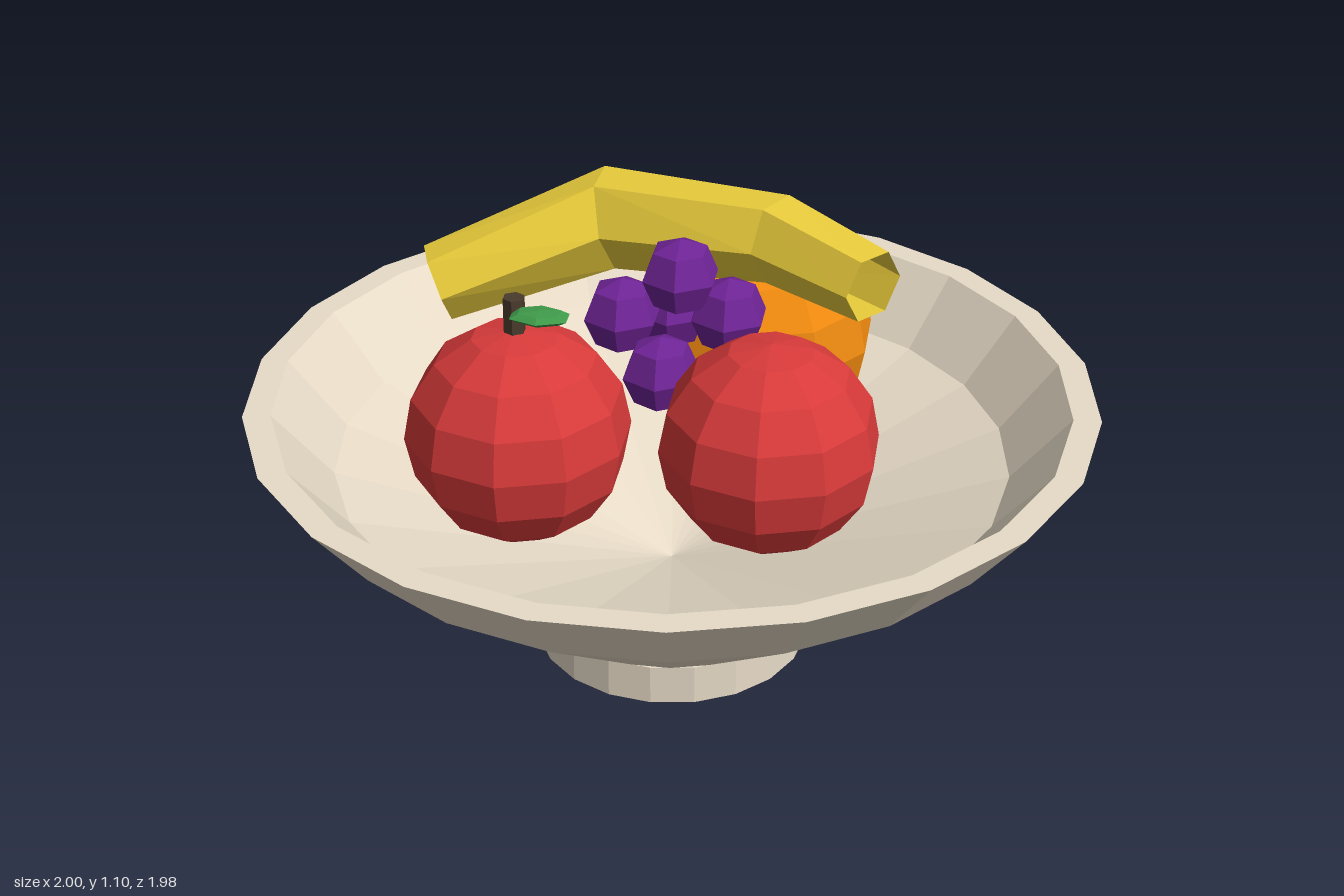
import * as THREE from 'three';

const material = (color, extra = {}) =>
  new THREE.MeshStandardMaterial({ color, flatShading: true, ...extra });

const cream = material(0xe8dcc8);
const red = material(0xd83a3a);
const orangeSkin = material(0xf08a10);
const purple = material(0x6f2496);
const yellow = material(0xecce3c, { side: THREE.DoubleSide });
const brown = material(0x4a3a2c);
const green = material(0x3f9a4a);

function add(parent, name, geometry, mat, x = 0, y = 0, z = 0) {
  const mesh = new THREE.Mesh(geometry, mat);
  mesh.name = name;
  mesh.position.set(x, y, z);
  parent.add(mesh);
  return mesh;
}

// Faceted ball with corners on the z axis
function ball(radius, sides, rows) {
  return new THREE.SphereGeometry(radius, sides, rows).rotateY(Math.PI / 2);
}

// Open six-sided tube through rings of [x, y, z, radius]
function taperedTube(rings, sides = 6) {
  const points = rings.map(([x, y, z]) => new THREE.Vector3(x, y, z));
  const up = new THREE.Vector3(0, 1, 0);
  const positions = [];
  const index = [];
  points.forEach((p, i) => {
    const before = points[Math.max(i - 1, 0)];
    const after = points[Math.min(i + 1, points.length - 1)];
    const along = after.clone().sub(before).normalize();
    const side = along.clone().cross(up).normalize();
    const top = side.clone().cross(along);
    for (let j = 0; j < sides; j++) {
      const a = (j / sides) * Math.PI * 2;
      const v = p.clone()
        .addScaledVector(side, Math.cos(a) * rings[i][3])
        .addScaledVector(top, Math.sin(a) * rings[i][3]);
      positions.push(v.x, v.y, v.z);
      if (i < points.length - 1) {
        const k = (j + 1) % sides;
        const r0 = i * sides;
        const r1 = r0 + sides;
        index.push(r0 + j, r1 + j, r0 + k, r1 + j, r1 + k, r0 + k);
      }
    }
  });
  const geometry = new THREE.BufferGeometry();
  geometry.setAttribute('position', new THREE.Float32BufferAttribute(positions, 3));
  geometry.setIndex(index);
  geometry.computeVertexNormals();
  return geometry;
}

export function createModel() {
  const model = new THREE.Group();
  model.name = 'fruitBowl';

  // Bowl: outer wall, flat rim, inner wall
  const profile = [
    [0, 0.1], [0.33, 0.1], [0.87, 0.5], [1, 0.665],
    [0.935, 0.665], [0.8, 0.5], [0, 0.2],
  ].map(([r, y]) => new THREE.Vector2(r, y));
  add(model, 'bowl', new THREE.LatheGeometry(profile, 22, Math.PI / 2), cream);
  add(model, 'foot', new THREE.CylinderGeometry(0.333, 0.333, 0.1, 20), cream, 0, 0.05, 0);

  // Large round fruit
  add(model, 'leftApple', ball(0.25, 10, 8), red, 0.265, 0.715, 0.3);
  add(model, 'orange', ball(0.28, 10, 8), orangeSkin, 0.167, 0.67, -0.335);

  // Apple with stem and leaf
  const apple = new THREE.Group();
  apple.name = 'rightApple';
  apple.position.set(-0.335, 0.62, 0.165);
  add(apple, 'appleSkin', ball(0.265, 10, 8), red);
  add(apple, 'stem', new THREE.CylinderGeometry(0.026, 0.026, 0.12, 6), brown, 0, 0.285, 0);
  const leaf = add(apple, 'leaf', ball(1, 6, 4), green, 0.065, 0.317, 0.032);
  leaf.scale.set(0.075, 0.016, 0.046);
  model.add(apple);

  // Grapes
  const grapes = new THREE.Group();
  grapes.name = 'grapes';
  [
    [0.03, 1.0, 0.07], [-0.1, 0.905, 0.095], [0.14, 0.905, 0.06],
    [0, 0.8, 0.165], [0, 0.875, -0.01],
  ].forEach(([x, y, z]) => add(grapes, 'grape', ball(0.092, 6, 4), purple, x, y, z));
  model.add(grapes);

  // Banana
  add(model, 'banana', taperedTube([
    [-0.6, 0.815, -0.175, 0.095],
    [-0.2, 0.955, -0.31, 0.125],
    [0.225, 1.005, -0.145, 0.105],
    [0.465, 1.0, 0.06, 0.085],
  ]), yellow);

  return model;
}
